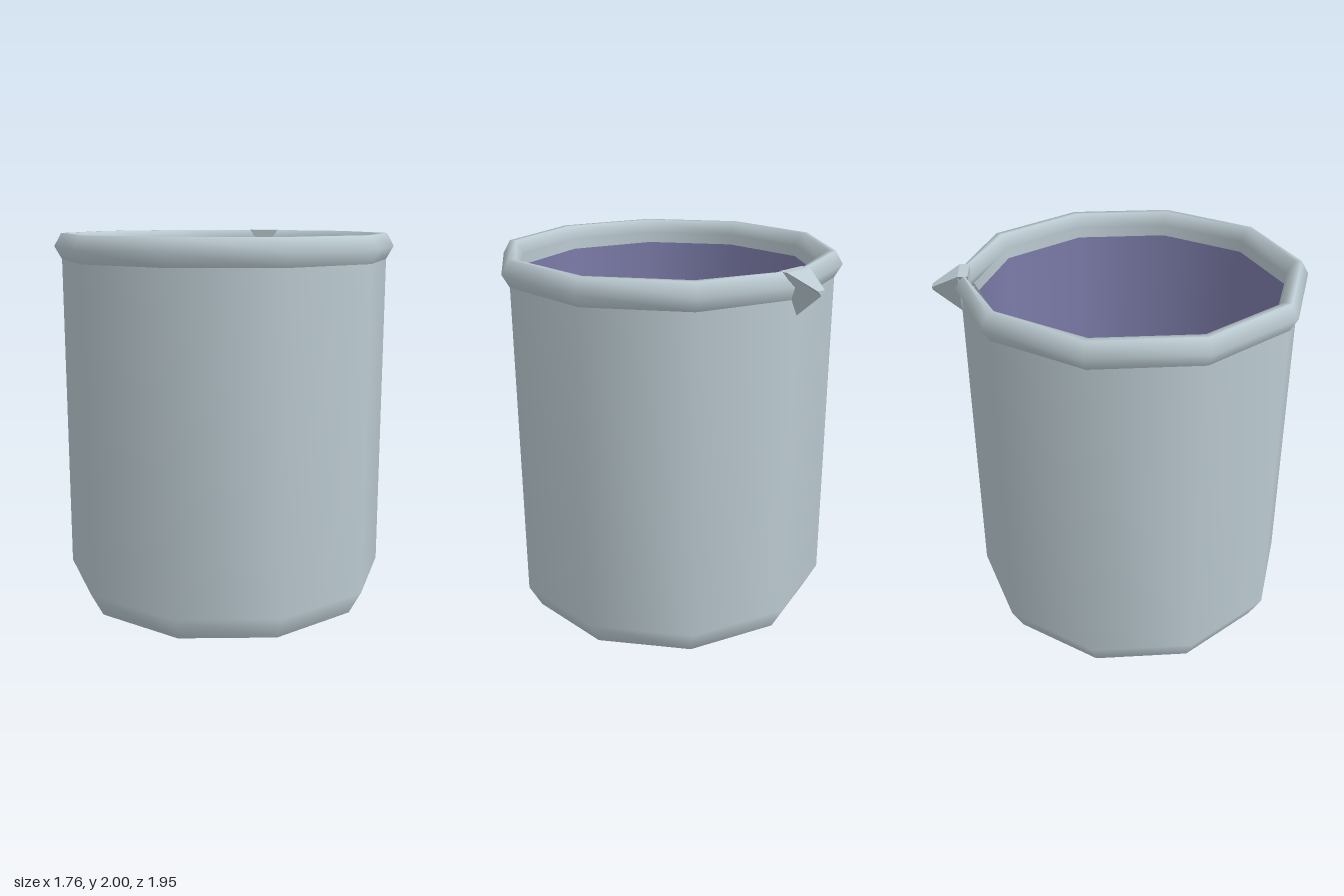
import * as THREE from 'three';

const SIDES = 10;
const CENTRE_Z = 0.05;

const glass = new THREE.MeshStandardMaterial({ color: 0xbccbd2, side: THREE.DoubleSide });
glass.name = 'pale grey glass';
const liquid = new THREE.MeshStandardMaterial({ color: 0x7c7caa, side: THREE.DoubleSide });
liquid.name = 'muted violet';

// Ten-sided ring swept from [radius, height] points
function turned(profile) {
  return new THREE.LatheGeometry(profile.map(([r, y]) => new THREE.Vector2(r, y)), SIDES);
}

// Flat-faced solid joining triangular sections, each listed as z, half width, top, bottom
function loft(sections) {
  const rings = sections.map(([z, w, top, bottom]) => [[-w, top, z], [w, top, z], [0, bottom, z]]);
  const pos = [];
  const tri = (...corners) => corners.forEach((p) => pos.push(...p));
  for (let i = 0; i + 1 < rings.length; i++) {
    for (let j = 0; j < 3; j++) {
      const k = (j + 1) % 3;
      const a = rings[i][j], b = rings[i][k], c = rings[i + 1][k], d = rings[i + 1][j];
      tri(a, b, c);
      tri(a, c, d);
    }
  }
  tri(rings[0][0], rings[0][2], rings[0][1]);
  tri(...rings[rings.length - 1]);
  const g = new THREE.BufferGeometry();
  g.setAttribute('position', new THREE.Float32BufferAttribute(pos, 3));
  g.computeVertexNormals();
  return g;
}

export function createModel() {
  const group = new THREE.Group();
  group.name = 'beaker';
  const add = (name, geometry, material, z = CENTRE_Z) => {
    const mesh = new THREE.Mesh(geometry, material);
    mesh.name = name;
    mesh.position.z = z;
    group.add(mesh);
    return mesh;
  };

  // Outer wall with a chamfered foot
  add('outerWall', turned([[0.815, 0], [0.885, 0.13], [0.885, 1.9]]), glass);

  // Inner wall, open at the foot below the raised floor
  add('innerWall', turned([[0.813, 1.93], [0.813, 0]]), glass);

  // Rolled rim, its inner edge pushed back at the spout
  const rim = turned([
    [0.885, 1.86], [0.925, 1.93], [0.885, 2], [0.848, 2], [0.81, 1.93], [0.848, 1.86], [0.885, 1.86],
  ]);
  const p = rim.attributes.position;
  for (let i = 0; i < p.count; i++) {
    const z = p.getZ(i);
    if (Math.abs(p.getX(i)) < 0.01 && z < 0 && z > -0.86) p.setZ(i, z - 0.03);
  }
  add('rim', rim, glass);

  // Coloured lining and raised floor
  add('lining', turned([[0.809, 1.87], [0.809, 0.35]]), liquid);
  const floor = new THREE.CircleGeometry(0.811, SIDES, Math.PI / 2).rotateX(-Math.PI / 2);
  add('floor', floor, liquid).position.y = 0.35;

  // Pouring spout at the back
  add('spout', loft([
    [-0.785, 0.085, 2.001, 1.87],
    [-0.835, 0.085, 2.001, 1.78],
    [-0.975, 0.025, 1.925, 1.9],
  ]), glass, 0);

  return group;
}
